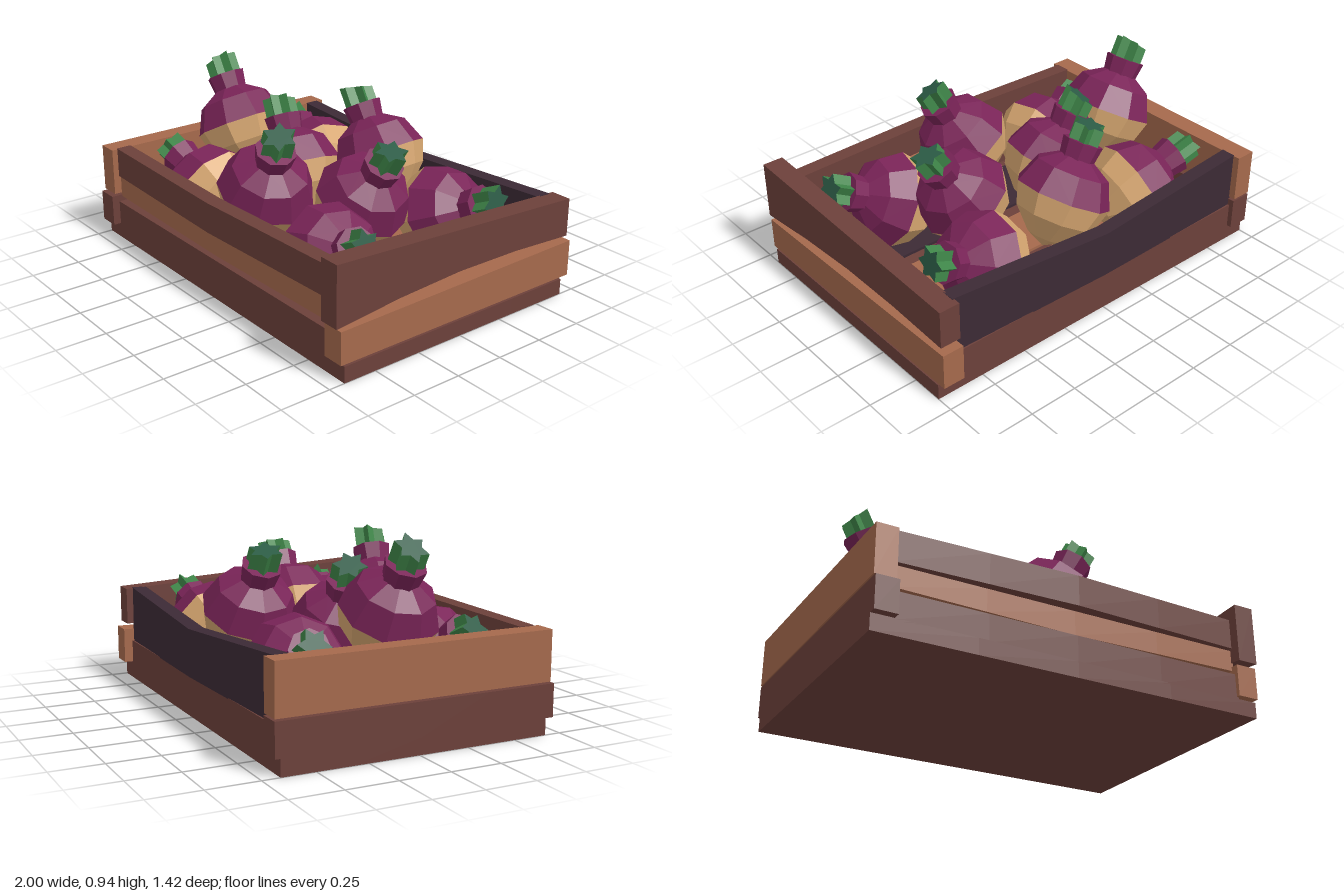
import * as THREE from 'three';

const mat = (name, color) => {
  const m = new THREE.MeshStandardMaterial({ color });
  m.name = name;
  return m;
};

// Faceted normals for the low-poly look
const flat = (g) => {
  const f = g.index ? g.toNonIndexed() : g;
  f.computeVertexNormals();
  return f;
};

export function createModel() {
  const model = new THREE.Group();
  model.name = 'vegetableCrate';

  const orange = mat('orange wood', 0xa5694c);
  const brown = mat('brown wood', 0x6c403a);
  const dark = mat('dark wood', 0x3c2a35);
  const purple = mat('purple skin', 0x7a2458);
  const tan = mat('tan root', 0xd6a670);
  const green = mat('leaf green', 0x3f8649);
  const deepGreen = mat('cut leaf green', 0x2c5c46);

  const add = (parent, name, geo, material) => {
    const m = new THREE.Mesh(flat(geo), material);
    m.name = name;
    parent.add(m);
    return m;
  };

  // Plank between two corners; warp(v, top) may bend it
  const plank = (name, material, a, b, warp) => {
    const s = b.map((v, i) => v - a[i]);
    const geo = new THREE.BoxGeometry(s[0], s[1], s[2], s[0] > 1 ? 4 : 1, 1, s[2] > 1 ? 4 : 1);
    const mid = (a[1] + b[1]) / 2;
    geo.translate((a[0] + b[0]) / 2, mid, (a[2] + b[2]) / 2);
    if (warp) {
      const p = geo.attributes.position, v = new THREE.Vector3();
      for (let i = 0; i < p.count; i++) {
        v.fromBufferAttribute(p, i);
        warp(v, v.y > mid);
        p.setXYZ(i, v.x, v.y, v.z);
      }
    }
    return add(model, name, geo, material);
  };
  const bow = (x) => 1 - Math.min(1, Math.abs(x) / 0.9);

  // Base and floor boards
  plank('base', brown, [-1, 0, -0.665], [1, 0.08, 0.67]);
  plank('floorBoardBack', orange, [-0.9, 0.07, -0.56], [0.9, 0.095, -0.22]);
  plank('floorBoardMiddle', orange, [-0.9, 0.07, -0.18], [0.9, 0.095, 0.11]);
  plank('floorBoardFront', dark, [-0.9, 0.07, 0.19], [0.9, 0.095, 0.52]);

  // Front planks
  plank('frontLowerPlank', brown, [-0.9, 0.07, 0.58], [0.9, 0.205, 0.67]);
  plank('frontMiddlePlank', orange, [-0.9, 0.23, 0.58], [0.9, 0.335, 0.65], (v, top) => {
    if (!top) v.y -= 0.015 * bow(v.x);
  });
  plank('frontUpperPlank', brown, [-0.9, 0.345, 0.58], [0.9, 0.497, 0.66], (v) => {
    v.z += 0.03 * bow(v.x);
  });

  // Back planks, the upper one sagging
  plank('backLowerPlank', brown, [-0.9, 0.07, -0.665], [0.9, 0.205, -0.58]);
  plank('backUpperPlank', dark, [-0.9, 0.2, -0.655], [0.9, 0.495, -0.58], (v, top) => {
    v.z -= 0.02 * bow(v.x);
    if (top) v.y -= 0.06 * bow(v.x);
  });

  // Left side planks (+x)
  plank('leftLowerPlank', orange, [0.89, 0.09, -0.71], [1, 0.26, 0.69], (v, top) => {
    if (top) v.y -= 0.015 * v.z;
  });
  plank('leftUpperPlank', brown, [0.89, 0.27, -0.69], [0.995, 0.525, 0.71], (v, top) => {
    const t = (v.z + 0.69) / 1.4;
    if (top) v.y = 0.49 + 0.07 * t;
    else v.y = 0.3 - 0.035 * t + 0.04 * Math.sin(Math.PI * t);
  });

  // Right side planks (-x)
  plank('rightLowerPlank', brown, [-1, 0.08, -0.69], [-0.89, 0.24, 0.71]);
  plank('rightUpperPlank', orange, [-1, 0.25, -0.69], [-0.895, 0.493, 0.69]);

  // Root vegetable geometry, pointing up +y
  const lathe = (pts) => new THREE.LatheGeometry(pts.map(([r, y]) => new THREE.Vector2(r, y)), 9);
  const rootGeo = lathe([[0, -0.27], [0.1, -0.22], [0.205, -0.11], [0.24, 0]]);
  const skinGeo = lathe([[0.24, 0], [0.185, 0.13], [0.085, 0.19]]);
  const neckGeo = new THREE.CylinderGeometry(0.1, 0.085, 0.1, 8).translate(0, 0.22, 0);

  // Leaf stub: ridged star section
  const star = new THREE.Shape();
  for (let i = 0; i < 12; i++) {
    const r = i % 2 ? 0.05 : 0.083, a = (i / 12) * Math.PI * 2;
    star[i ? 'lineTo' : 'moveTo'](r * Math.cos(a), r * Math.sin(a));
  }
  star.closePath();
  const leafGeo = new THREE.ExtrudeGeometry(star, { depth: 0.11, bevelEnabled: false });
  leafGeo.rotateX(-Math.PI / 2).translate(0, 0.255, 0);
  const lp = leafGeo.attributes.position;
  for (let i = 0; i < lp.count; i++) {
    if (lp.getY(i) > 0.3) lp.setY(i, 0.36 + 0.25 * lp.getX(i));
  }

  // Each vegetable: centre, then the point its leaves reach
  const vegetables = [
    [-0.67, 0.57, 0.03, -0.84, 0.88, 0.04],
    [-0.5, 0.34, -0.35, -0.84, 0.5, -0.42],
    [-0.5, 0.33, 0.35, -0.84, 0.5, 0.4],
    [0.0, 0.5, -0.36, -0.18, 0.82, -0.35],
    [-0.24, 0.44, 0.0, -0.41, 0.75, -0.03],
    [0.32, 0.45, 0.01, 0.53, 0.76, 0.01],
    [0.03, 0.5, 0.37, 0.2, 0.82, 0.41],
    [0.49, 0.34, -0.35, 0.84, 0.5, -0.39],
    [0.5, 0.33, 0.35, 0.84, 0.5, 0.41],
  ];
  const up = new THREE.Vector3(0, 1, 0);
  vegetables.forEach(([x, y, z, tx, ty, tz], i) => {
    const g = new THREE.Group();
    g.name = 'rootVegetable' + (i + 1);
    add(g, 'root', rootGeo, tan);
    add(g, 'skin', skinGeo, purple);
    add(g, 'neck', neckGeo, purple);
    add(g, 'leafStub', leafGeo, [deepGreen, green]);
    g.position.set(x, y, z);
    g.quaternion.setFromUnitVectors(up, new THREE.Vector3(tx - x, ty - y, tz - z).normalize());
    g.rotateY(i * 1.3);
    model.add(g);
  });

  return model;
}
